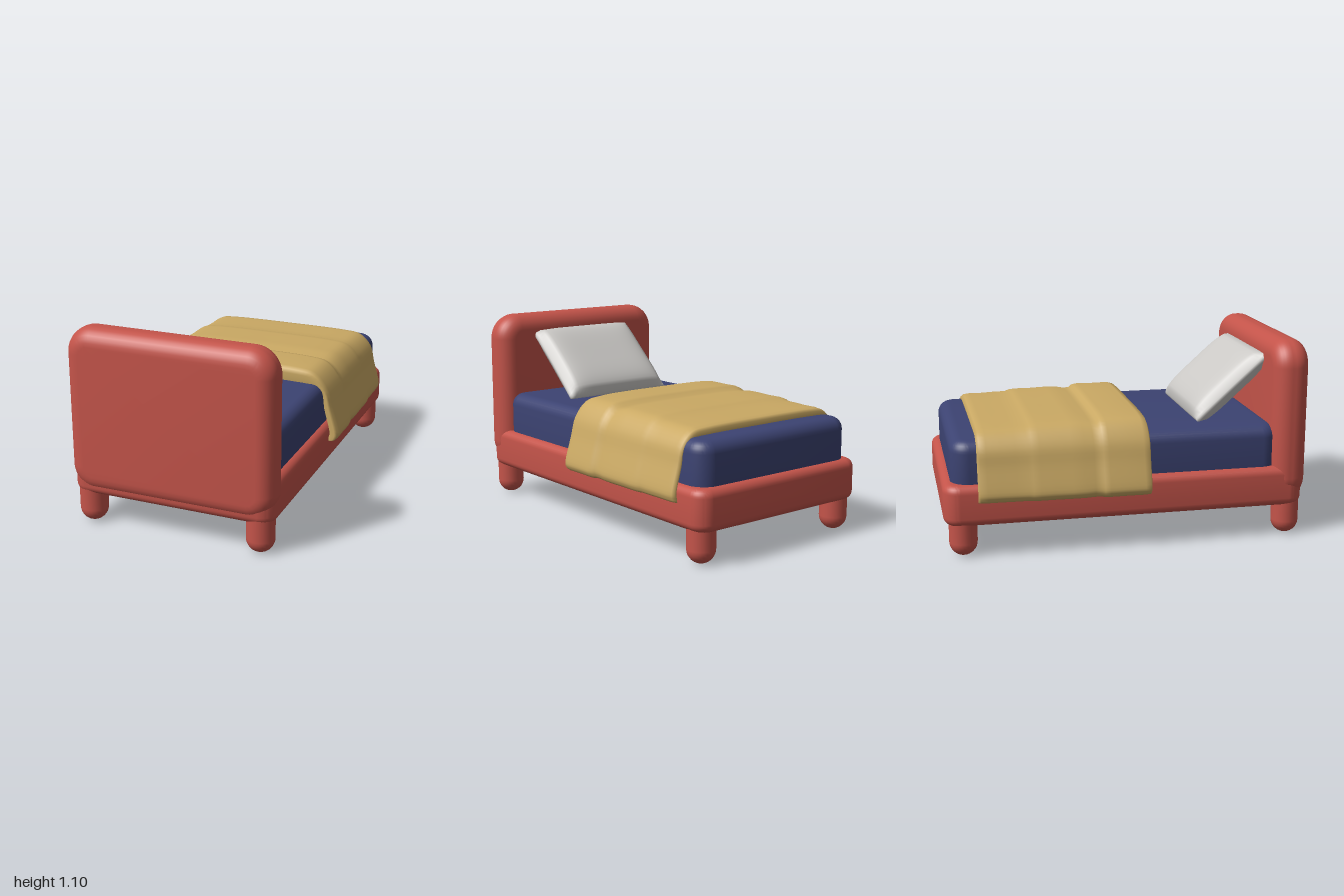
import * as THREE from 'three';
import { mergeVertices, toCreasedNormals } from 'three/addons/utils/BufferGeometryUtils.js';

const paint = (name, color) => {
  const m = new THREE.MeshStandardMaterial({ color });
  m.name = name;
  return m;
};

// Rounded rectangle w x h, extruded to depth d along z, with every edge bevelled; centred
function slab(w, h, d, corner, bevel) {
  const x = w / 2 - bevel, y = h / 2 - bevel, r = corner - bevel;
  const s = new THREE.Shape();
  s.moveTo(-x + r, -y);
  s.lineTo(x - r, -y);
  s.absarc(x - r, -y + r, r, -Math.PI / 2, 0);
  s.absarc(x - r, y - r, r, 0, Math.PI / 2);
  s.absarc(-x + r, y - r, r, Math.PI / 2, Math.PI);
  s.absarc(-x + r, -y + r, r, Math.PI, Math.PI * 1.5);
  const g = new THREE.ExtrudeGeometry(s, {
    depth: d - 2 * bevel, bevelThickness: bevel, bevelSize: bevel, bevelSegments: 7, curveSegments: 8,
  });
  g.translate(0, 0, bevel - d / 2);
  return toCreasedNormals(g, 0.7);
}

// Half cross-sections of the blanket, from the hem up to the middle of the top
const INNER = [[0.555, 0.312], [0.565, 0.314], [0.57, 0.33], [0.572, 0.37], [0.54, 0.49], [0.525, 0.57], [0.46, 0.622], [0.36, 0.63], [0.18, 0.632], [0, 0.632]];
const OUTER = [[0.555, 0.305], [0.595, 0.305], [0.617, 0.325], [0.62, 0.365], [0.582, 0.49], [0.548, 0.6], [0.475, 0.685], [0.37, 0.706], [0.18, 0.711], [0, 0.711]];

// z position and fullness of each blanket station, from the folded edge to the foot
const STATIONS = [
  [0.102, 0], [0.108, 0.6], [0.1, 0.88], [0.07, 1], [-0.03, 0.98], [-0.12, 1], [-0.15, 0.92], [-0.165, 0.7],
  [-0.2, 0.68], [-0.25, 0.82], [-0.32, 0.83], [-0.42, 0.78], [-0.49, 0.8], [-0.53, 0.75], [-0.555, 0.61],
  [-0.62, 0.6], [-0.7, 0.55], [-0.77, 0.56], [-0.805, 0.5], [-0.82, 0.32], [-0.815, 0],
];

function blanketGeometry() {
  const pos = [], index = [], n = 73;
  STATIONS.forEach(([z, t]) => {
    const half = INNER.map(([x, y], k) => new THREE.Vector2(
      THREE.MathUtils.lerp(x, OUTER[k][0], t), THREE.MathUtils.lerp(y, OUTER[k][1], t)));
    const other = half.slice(0, -1).reverse().map((p) => new THREE.Vector2(-p.x, p.y));
    new THREE.SplineCurve([...half, ...other]).getPoints(n - 1).forEach((p) => pos.push(p.x, p.y, z));
  });
  for (let i = 0; i < STATIONS.length - 1; i++) {
    for (let j = 0; j < n - 1; j++) {
      const a = i * n + j, b = a + n;
      index.push(a, b, a + 1, b, b + 1, a + 1);
    }
  }
  const g = new THREE.BufferGeometry();
  g.setAttribute('position', new THREE.Float32BufferAttribute(pos, 3));
  g.setIndex(index);
  g.computeVertexNormals();
  return g;
}

// Box puffed up in the middle and thinned toward its rim
function pillowGeometry(w, h, d) {
  let g = new THREE.BoxGeometry(w, h, d, 28, 4, 24);
  g.deleteAttribute('uv');
  g.deleteAttribute('normal');
  g = mergeVertices(g);
  const p = g.attributes.position;
  for (let i = 0; i < p.count; i++) {
    const u = p.getX(i) / (w / 2), v = p.getZ(i) / (d / 2), k = p.getY(i) / (h / 2);
    const puff = 0.22 + 0.78 * Math.sqrt(Math.max(0, (1 - u ** 6) * (1 - v ** 4)));
    const pinch = 1 - 0.03 * k * k;
    p.setXYZ(i, p.getX(i) * pinch * (1 - 0.02 * (1 - v * v)), p.getY(i) * puff, p.getZ(i) * pinch);
  }
  g.computeVertexNormals();
  return g;
}

export function createModel() {
  const bed = new THREE.Group();
  bed.name = 'bed';
  const red = paint('redFrame', 0xc4544a);
  const navy = paint('navyMattress', 0x3c4372);
  const mustard = paint('mustardBlanket', 0xcaa964);
  const white = paint('palePillow', 0xcbc9c6);

  const add = (name, geo, mat, x, y, z) => {
    const m = new THREE.Mesh(geo, mat);
    m.name = name;
    m.position.set(x, y, z);
    bed.add(m);
    return m;
  };

  // Frame and headboard
  add('frame', slab(1.14, 1.985, 0.225, 0.09, 0.045).rotateX(-Math.PI / 2), red, 0, 0.2875, -0.0075);
  add('headboard', slab(1.15, 0.905, 0.2, 0.145, 0.09), red, 0, 0.6425, 0.9);

  // Rounded legs
  const leg = new THREE.CapsuleGeometry(0.076, 0.2, 8, 24);
  for (const x of [-0.48, 0.48]) {
    add('headLeg', leg, red, x, 0.176, 0.904);
    add('footLeg', leg, red, x, 0.176, -0.897);
  }

  // Bedding
  add('mattress', slab(1.06, 1.805, 0.33, 0.1, 0.065).rotateX(-Math.PI / 2), navy, 0, 0.463, -0.0525);
  const blanket = add('blanket', blanketGeometry(), mustard, 0, 0, 0);
  blanket.material.side = THREE.DoubleSide;
  const pillow = add('pillow', pillowGeometry(0.7, 0.155, 0.54), white, 0, 0.808, 0.625);
  pillow.rotation.x = -0.73;

  return bed;
}
